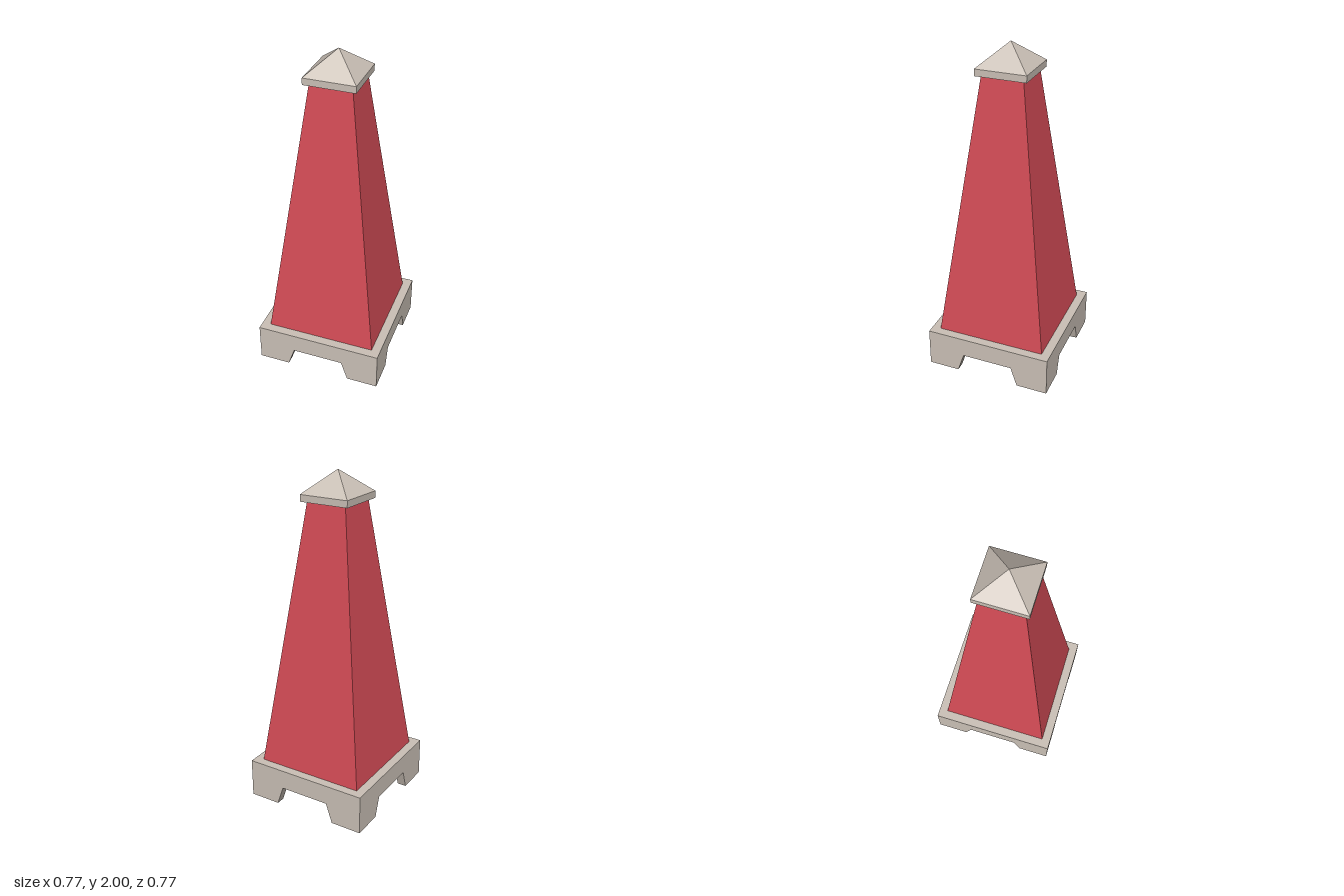
import * as THREE from 'three';

const stone = new THREE.MeshStandardMaterial({ color: 0xcac0b6, flatShading: true });
const red = new THREE.MeshStandardMaterial({ color: 0xd24b55, flatShading: true });

const HALF = 0.385;       // half width of the base
const WALL = 0.055;       // thickness of the feet
const SLAB_BOTTOM = 0.12;
const SLAB_TOP = 0.24;
const CAP_BOTTOM = 1.83;
const CAP_TOP = 1.87;

function add(parent, name, geometry, material, y = 0) {
  const mesh = new THREE.Mesh(geometry, material);
  mesh.name = name;
  mesh.position.y = y;
  parent.add(mesh);
  return mesh;
}

// Square frustum standing on y = 0, given by half widths
function frustum(top, bottom, height) {
  return new THREE.CylinderGeometry(top * Math.SQRT2, bottom * Math.SQRT2, height, 4)
    .rotateY(Math.PI / 4)
    .translate(0, height / 2, 0);
}

// Square slab standing on y = 0
function slab(half, height) {
  return new THREE.BoxGeometry(half * 2, height, half * 2).translate(0, height / 2, 0);
}

// One foot wall with a slanted inner edge, lying in the front face
function footWall(side, outer) {
  const shape = new THREE.Shape([
    new THREE.Vector2(side * 0.195, 0),
    new THREE.Vector2(side * outer, 0),
    new THREE.Vector2(side * outer, SLAB_BOTTOM),
    new THREE.Vector2(side * 0.155, SLAB_BOTTOM),
  ]);
  return new THREE.ExtrudeGeometry(shape, { depth: WALL, bevelEnabled: false })
    .translate(0, 0, HALF - WALL);
}

export function createModel() {
  const model = new THREE.Group();
  model.name = 'obelisk';

  // Base: slab on four L-shaped corner feet
  const base = new THREE.Group();
  base.name = 'base';
  model.add(base);
  add(base, 'baseSlab', slab(HALF, SLAB_TOP - SLAB_BOTTOM), stone, SLAB_BOTTOM);
  for (let i = 0; i < 4; i++) {
    const feet = new THREE.Group();
    feet.name = 'footSide' + (i + 1);
    feet.rotation.y = (i * Math.PI) / 2;
    add(feet, 'footWallLeft', footWall(1, HALF), stone);
    add(feet, 'footWallRight', footWall(-1, HALF - WALL), stone);
    base.add(feet);
  }

  // Tapering shaft
  add(model, 'shaft', frustum(0.123, 0.332, CAP_BOTTOM - SLAB_TOP), red, SLAB_TOP);

  // Cap: thin slab with a pyramid roof
  add(model, 'capSlab', slab(0.151, CAP_TOP - CAP_BOTTOM), stone, CAP_BOTTOM);
  add(model, 'capPyramid', frustum(0, 0.151, 2 - CAP_TOP), stone, CAP_TOP);

  return model;
}
